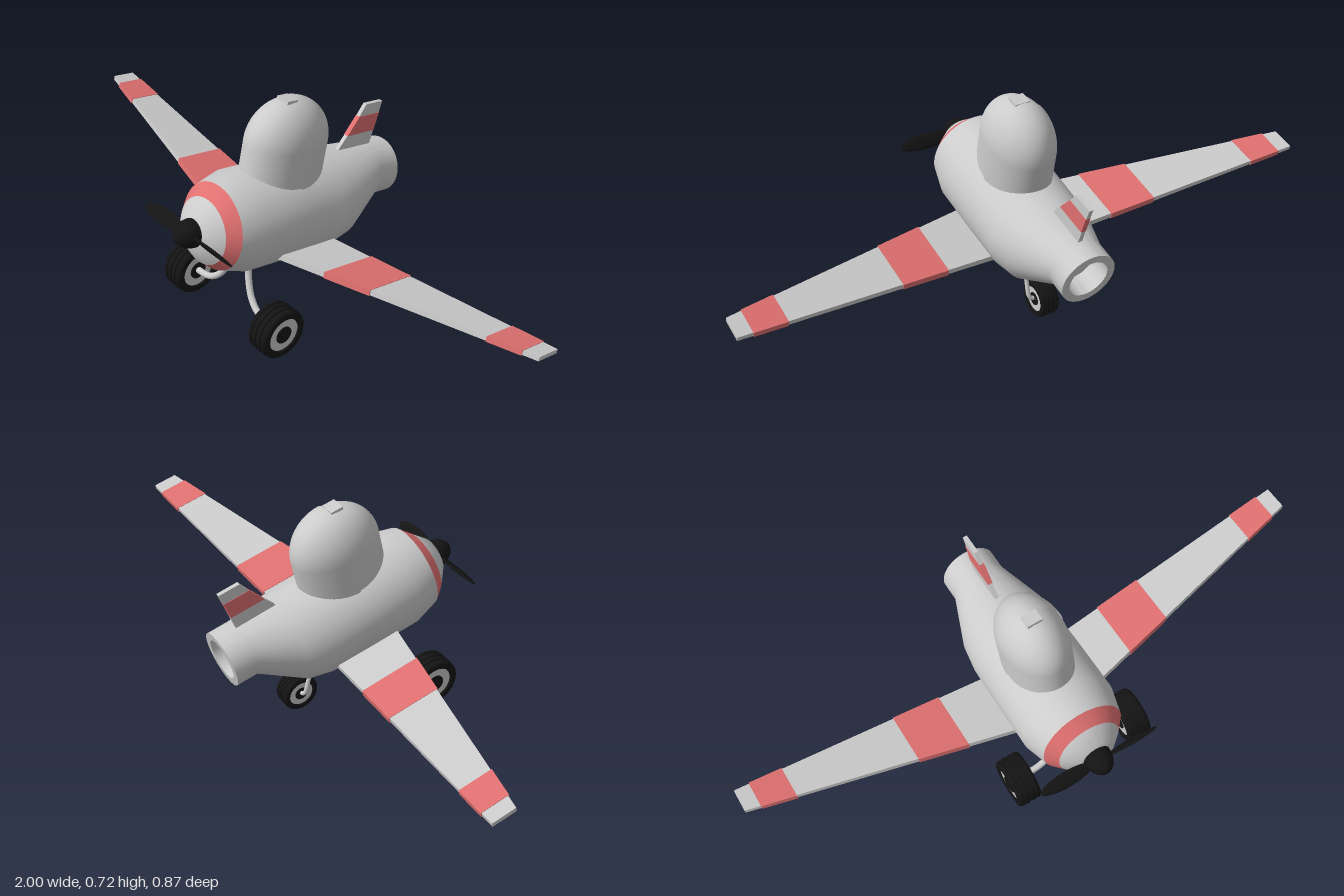
import * as THREE from 'three';
import { toCreasedNormals } from 'three/addons/utils/BufferGeometryUtils.js';

const material = (color, side = THREE.FrontSide) => new THREE.MeshStandardMaterial({ color, side });
const GREY = material(0xcccccc);
const GLASS = material(0xcccccc, THREE.DoubleSide);
const RED = material(0xe07070);
const BLACK = material(0x141414);
const TILT = 0.2145; // nose-up attitude of the body

function add(parent, name, geometry, mat) {
  const mesh = new THREE.Mesh(geometry, mat);
  mesh.name = name;
  parent.add(mesh);
  return mesh;
}

const lathe = (pts, segments = 48, start = 0, length = Math.PI * 2) =>
  new THREE.LatheGeometry(pts.map(([r, h]) => new THREE.Vector2(r, h)), segments, start, length);

// Centre height of the round body sections along the axis
const CENTRES = [[-0.265, 0.381], [-0.12, 0.326], [-0.04, 0.315], [0.365, 0.315], [0.402, 0.308], [0.445, 0.312]];
function centreAt(s) {
  if (s <= CENTRES[0][0]) return CENTRES[0][1];
  for (let i = 1; i < CENTRES.length; i++) {
    const [a, ya] = CENTRES[i - 1], [b, yb] = CENTRES[i];
    if (s <= b) return THREE.MathUtils.lerp(ya, yb, (s - a) / (b - a));
  }
  return CENTRES.at(-1)[1];
}

// Round section of the body: lathe laid along z, each ring lifted to its centre
function bodySection(pts) {
  const geo = lathe(pts, 56).rotateX(Math.PI / 2);
  const p = geo.attributes.position;
  for (let i = 0; i < p.count; i++) p.setY(i, p.getY(i) + centreAt(p.getZ(i)));
  return toCreasedNormals(geo, 0.8);
}

// Tapered wing slab between two spans, on one side
function wingPiece(x0, x1, side, pad) {
  const geo = new THREE.BoxGeometry(2, 2, 2);
  const p = geo.attributes.position;
  const { lerp } = THREE.MathUtils;
  for (let i = 0; i < p.count; i++) {
    const x = p.getX(i) * side > 0 ? x1 : x0;
    const k = (x - 0.14) / 0.86;
    const z = p.getZ(i) > 0 ? lerp(0.194, 0.009, k) + pad : lerp(-0.031, -0.073, k) - pad;
    const y = lerp(0.234, 0.322, k) + p.getY(i) * (lerp(0.01, 0.007, k) + pad * 0.5);
    p.setXYZ(i, x * side, y, z);
  }
  geo.computeVertexNormals();
  return geo;
}

// Fin slab from side-view corners [z, y]
function finPiece(corners, thickness) {
  const shape = new THREE.Shape(corners.map(([z, y]) => new THREE.Vector2(-z, y)));
  return new THREE.ExtrudeGeometry(shape, { depth: thickness, bevelEnabled: false })
    .translate(0, 0, -thickness / 2).rotateY(Math.PI / 2);
}

function wheel(name, radius, width, position) {
  const group = new THREE.Group();
  group.name = name;
  const w = width / 2, r = radius;
  // Tyre with rounded shoulders and three tread grooves
  const pts = [[r * 0.67, -w * 0.8], [r * 0.7, -w], [r * 0.92, -w], [r * 0.985, -w * 0.85]];
  for (const g of [-0.5, 0, 0.5]) {
    pts.push([r, w * (g - 0.1)], [r * 0.95, w * (g - 0.06)], [r * 0.95, w * (g + 0.06)], [r, w * (g + 0.1)]);
  }
  pts.push([r * 0.985, w * 0.85], [r * 0.92, w], [r * 0.7, w], [r * 0.67, w * 0.8]);
  add(group, 'tyre', toCreasedNormals(lathe(pts, 40).rotateZ(Math.PI / 2), 0.6), BLACK);
  const disc = (rad, len) => new THREE.CylinderGeometry(rad, rad, len, 32).rotateZ(Math.PI / 2);
  add(group, 'rim', disc(r * 0.69, width * 0.86), GREY);
  add(group, 'hub', disc(r * 0.35, width * 0.94), BLACK);
  group.position.set(...position);
  return group;
}

const rod = (points, radius) => new THREE.TubeGeometry(
  new THREE.CatmullRomCurve3(points.map((p) => new THREE.Vector3(...p))), 28, radius, 12);

export function createModel() {
  const model = new THREE.Group();
  model.name = 'plane';
  const body = new THREE.Group();
  body.name = 'body';
  body.rotation.x = -TILT;
  model.add(body);

  // Fuselage with hollow tail pipe, red nose band and nose ring
  add(body, 'fuselage', bodySection([
    [0, -0.265], [0.066, -0.265], [0.066, -0.339], [0.092, -0.339], [0.092, -0.265],
    [0.149, -0.12], [0.16, -0.04], [0.162, 0.1], [0.162, 0.281], [0.139, 0.365],
  ]), GREY);
  add(body, 'noseBand', bodySection([[0.139, 0.365], [0.107, 0.402]]), RED);
  add(body, 'noseRing', bodySection([[0.107, 0.402], [0.061, 0.445], [0, 0.445]]), GREY);

  // Canopy: upright oval shell with a slightly larger rear half and a top latch
  const canopyProfile = [[1, 0.4], [1, 0.47]];
  for (let i = 0; i <= 16; i++) {
    const a = (i / 16) * Math.PI / 2;
    canopyProfile.push([i === 16 ? 0 : Math.cos(a), 0.56 + 0.142 * Math.sin(a)]);
  }
  const canopy = new THREE.Group();
  canopy.name = 'canopy';
  canopy.position.z = 0.118;
  body.add(canopy);
  add(canopy, 'canopyFront', lathe(canopyProfile, 48).scale(0.104, 1, 0.148), GLASS);
  add(canopy, 'canopyRear', lathe(canopyProfile, 32, Math.PI / 2, Math.PI).scale(0.107, 1.004, 0.151), GLASS);
  add(canopy, 'canopyLatch', new THREE.BoxGeometry(0.05, 0.01, 0.042), GREY).position.set(0, 0.7, 0.022);

  // Wings with red bands
  const spans = [0.1, 0.3, 0.46, 0.84, 0.95, 1];
  for (const side of [1, -1]) {
    const wing = new THREE.Group();
    wing.name = side > 0 ? 'leftWing' : 'rightWing';
    body.add(wing);
    for (let i = 0; i < 5; i++) {
      const red = i % 2 === 1;
      add(wing, red ? 'wingBand' : 'wingPanel', wingPiece(spans[i], spans[i + 1], side, red ? 0.003 : 0), red ? RED : GREY);
    }
  }

  // Tail fin with red band
  const fin = new THREE.Group();
  fin.name = 'tailFin';
  model.add(fin);
  add(fin, 'finBase', finPiece([[-0.2, 0.415], [-0.355, 0.385], [-0.378, 0.45], [-0.262, 0.475]], 0.014), GREY);
  add(fin, 'finBand', finPiece([[-0.262, 0.475], [-0.378, 0.45], [-0.4, 0.508], [-0.313, 0.527]], 0.017), RED);
  add(fin, 'finTip', finPiece([[-0.313, 0.527], [-0.4, 0.508], [-0.415, 0.545], [-0.343, 0.561]], 0.014), GREY);

  // Spinner and twisted two-blade propeller
  const propeller = new THREE.Group();
  propeller.name = 'propeller';
  propeller.position.set(0, 0.312, 0.445);
  body.add(propeller);
  add(propeller, 'spinner', new THREE.SphereGeometry(1, 32, 20).scale(0.046, 0.046, 0.066), BLACK);
  for (const side of [1, -1]) {
    const blade = add(propeller, 'blade', new THREE.SphereGeometry(1, 24, 14).scale(0.092, 0.026, 0.006), BLACK);
    blade.position.set(side * 0.116, 0, 0.016);
    blade.rotation.x = side * 0.75;
  }

  // Main landing gear: curved legs sweeping out to the wheels
  const mid = 0.0125;
  for (const side of [1, -1]) {
    const gear = new THREE.Group();
    gear.name = side > 0 ? 'leftGear' : 'rightGear';
    model.add(gear);
    const leg = [[0.032, 0.23, 0.187], [0.045, 0.18, 0.2], [0.078, 0.122, 0.217], [0.12, 0.093, 0.227], [0.2, 0.085, 0.23]];
    add(gear, 'gearLeg', rod(leg.map(([x, y, z]) => [mid + side * x, y, z]), 0.011), GREY);
    gear.add(wheel('mainWheel', 0.084, 0.08, [mid + side * 0.211, 0.084, 0.23]));
  }

  // Tail wheel held in a fork
  const tailGear = new THREE.Group();
  tailGear.name = 'tailGear';
  model.add(tailGear);
  for (const side of [1, -1]) {
    add(tailGear, 'forkArm', rod([[side * 0.042, 0.19, -0.112], [side * 0.043, 0.13, -0.13], [side * 0.041, 0.075, -0.147], [side * 0.02, 0.066, -0.15]], 0.007), GREY);
  }
  tailGear.add(wheel('tailWheel', 0.062, 0.06, [0, 0.065, -0.15]));
  return model;
}
